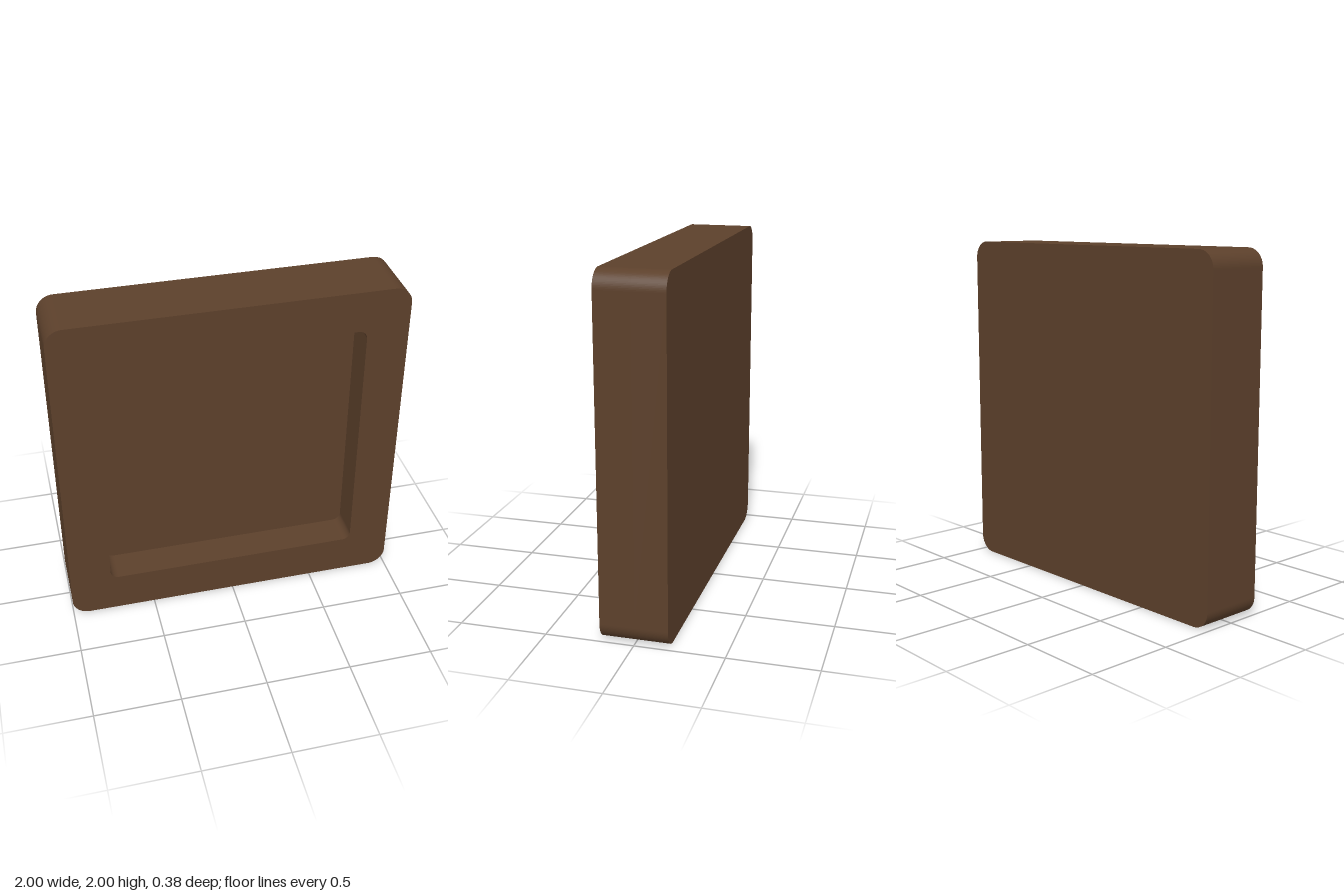
import * as THREE from 'three';

// Rounded square outline centred on the origin
function roundedSquare(path, half, r) {
  const c = half - r;
  path.absarc(c, c, r, 0, Math.PI / 2);
  path.absarc(-c, c, r, Math.PI / 2, Math.PI);
  path.absarc(-c, -c, r, Math.PI, Math.PI * 1.5);
  path.absarc(c, -c, r, Math.PI * 1.5, Math.PI * 2);
  path.closePath();
  return path;
}

export function createModel() {
  const group = new THREE.Group();
  group.name = 'shadowBoxFrame';
  const wood = new THREE.MeshStandardMaterial({ color: 0x5c402b });
  wood.name = 'dark brown wood';

  const back = -0.19, seam = -0.006, front = 0.19;

  const addSlab = (name, shape, z0, z1) => {
    const geometry = new THREE.ExtrudeGeometry(shape, {
      depth: z1 - z0, bevelEnabled: false, curveSegments: 10,
    });
    geometry.translate(0, 1, z0);
    const mesh = new THREE.Mesh(geometry, wood);
    mesh.name = name;
    group.add(mesh);
  };

  // Solid back panel, which is also the floor of the recess
  addSlab('backPanel', roundedSquare(new THREE.Shape(), 1, 0.1), back, seam);

  // Front frame with a rounded square opening
  const frame = roundedSquare(new THREE.Shape(), 1, 0.1);
  frame.holes.push(roundedSquare(new THREE.Path(), 0.757, 0.05));
  addSlab('frontFrame', frame, seam, front);

  return group;
}
